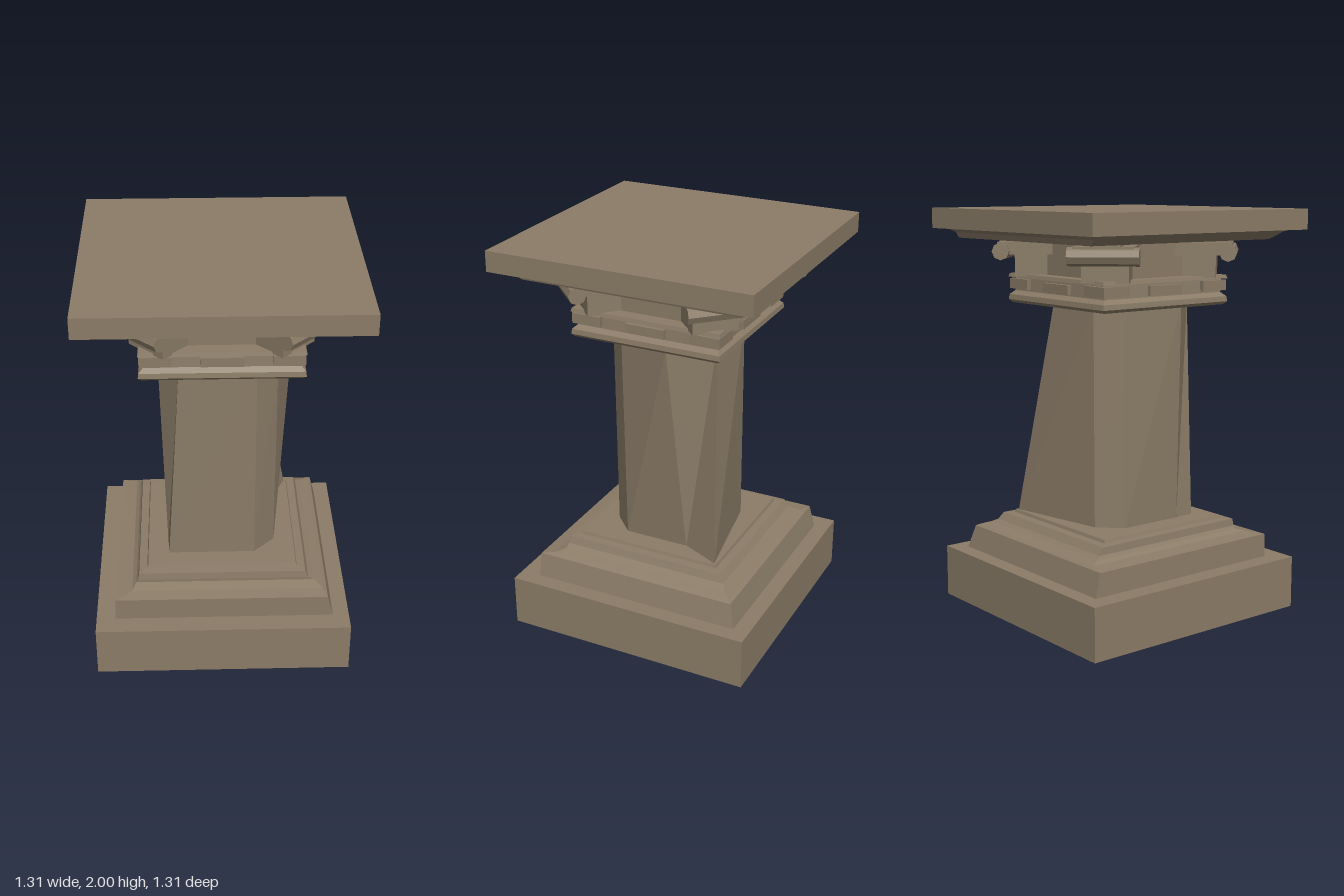
import * as THREE from 'three';

// Flat-faced solid through stacked outlines: each ring is { y, pts: [[x, z], ...] }
function loft(rings) {
  const pos = [];
  const put = (ring, i) => pos.push(ring.pts[i][0], ring.y, ring.pts[i][1]);
  const n = rings[0].pts.length;
  for (let r = 0; r < rings.length - 1; r++) {
    const lo = rings[r], hi = rings[r + 1];
    for (let i = 0; i < n; i++) {
      const j = (i + 1) % n;
      put(lo, i); put(lo, j); put(hi, j);
      put(lo, i); put(hi, j); put(hi, i);
    }
  }
  const first = rings[0], last = rings[rings.length - 1];
  for (let i = 1; i < n - 1; i++) {
    put(first, 0); put(first, i + 1); put(first, i);
    put(last, 0); put(last, i); put(last, i + 1);
  }
  const geo = new THREE.BufferGeometry();
  geo.setAttribute('position', new THREE.Float32BufferAttribute(pos, 3));
  geo.computeVertexNormals();
  return geo;
}

// Rectangular outline at height y; one size gives a centred square
function rect(y, x0, x1 = -x0, z0 = x0, z1 = x1) {
  return { y, pts: [[x1, z1], [x1, z0], [x0, z0], [x0, z1]] };
}

export function createModel() {
  const group = new THREE.Group();
  group.name = 'pedestal';
  const stone = new THREE.MeshStandardMaterial({ color: 0x8b7c67 });
  stone.name = 'brown stone';

  const add = (name, geo, parent = group) => {
    const mesh = new THREE.Mesh(geo, stone);
    mesh.name = name;
    parent.add(mesh);
    return mesh;
  };
  const box = (name, w, h, d, x, y, z, parent) => {
    add(name, new THREE.BoxGeometry(w, h, d), parent).position.set(x, y, z);
  };

  // Plinth and the worn, uneven mouldings on it
  add('plinth', loft([rect(0, -0.63), rect(0.26, -0.63)]));
  add('baseMoulding', loft([
    rect(0.26, -0.535, 0.55, -0.55, 0.53),
    rect(0.375, -0.53, 0.52, -0.52, 0.53),
    rect(0.385, -0.45, 0.5, -0.5, 0.47),
    rect(0.4, -0.43, 0.46, -0.46, 0.42),
    rect(0.415, -0.42, 0.43, -0.44, 0.42),
    rect(0.45, -0.415),
    rect(0.453, -0.375),
    rect(0.468, -0.37),
  ]));

  // Chamfered shaft, twisted at the back corner where it flares to the base
  add('shaft', loft([
    { y: 0.46, pts: [[0.165, 0.27], [0.27, 0.165], [0.27, -0.165], [0.36, -0.36],
      [-0.165, -0.27], [-0.27, -0.165], [-0.27, 0.165], [-0.265, 0.27]] },
    { y: 1.54, pts: [[0.165, 0.28], [0.27, 0.18], [0.36, -0.1], [0.16, -0.27],
      [-0.16, -0.27], [-0.27, -0.16], [-0.3, 0.16], [-0.2, 0.285]] },
  ]));

  // Capital: lower collar, recessed band, upper fillet and core
  add('capitalCollar', loft([
    rect(1.535, -0.37), rect(1.55, -0.385), rect(1.575, -0.382),
    rect(1.595, -0.36), rect(1.66, -0.355), rect(1.662, -0.385), rect(1.68, -0.38),
  ]));
  add('capitalCore', loft([rect(1.67, -0.31), rect(1.87, -0.31)]));

  // Raised blocks on the band, the same on all four sides
  for (let s = 0; s < 4; s++) {
    const side = new THREE.Group();
    side.name = 'bandSide';
    side.rotation.y = s * Math.PI / 2;
    group.add(side);
    box('bandPanel', 0.2, 0.045, 0.03, 0, 1.625, 0.362, side);
    box('bandCorner', 0.15, 0.05, 0.04, 0.305, 1.63, 0.36, side);
    box('bandCorner', 0.15, 0.05, 0.04, -0.305, 1.63, 0.36, side);
  }

  // Scroll brackets pointing out along the diagonals
  for (let c = 0; c < 4; c++) {
    const bracket = new THREE.Group();
    bracket.name = 'cornerBracket';
    bracket.rotation.y = Math.PI / 4 + c * Math.PI / 2;
    group.add(bracket);
    box('bracketStem', 0.22, 0.11, 0.26, 0, 1.725, 0.36, bracket);
    box('bracketArm', 0.28, 0.06, 0.3, 0, 1.81, 0.42, bracket);
    box('bracketSupport', 0.16, 0.07, 0.3, 0, 1.845, 0.42, bracket);
    const roll = add('scroll', new THREE.CylinderGeometry(0.043, 0.043, 0.33, 8).toNonIndexed(), bracket);
    roll.geometry.computeVertexNormals();
    roll.rotation.z = Math.PI / 2;
    roll.position.set(0, 1.795, 0.55);
  }

  // Cornice and top slab
  add('cornice', loft([
    rect(1.853, -0.52, 0.56, -0.56, 0.53),
    rect(1.88, -0.56, 0.57, -0.57, 0.56),
    rect(1.902, -0.59, 0.61, -0.6, 0.59),
  ]));
  add('topSlab', loft([rect(1.9, -0.655), rect(2, -0.655)]));

  return group;
}
